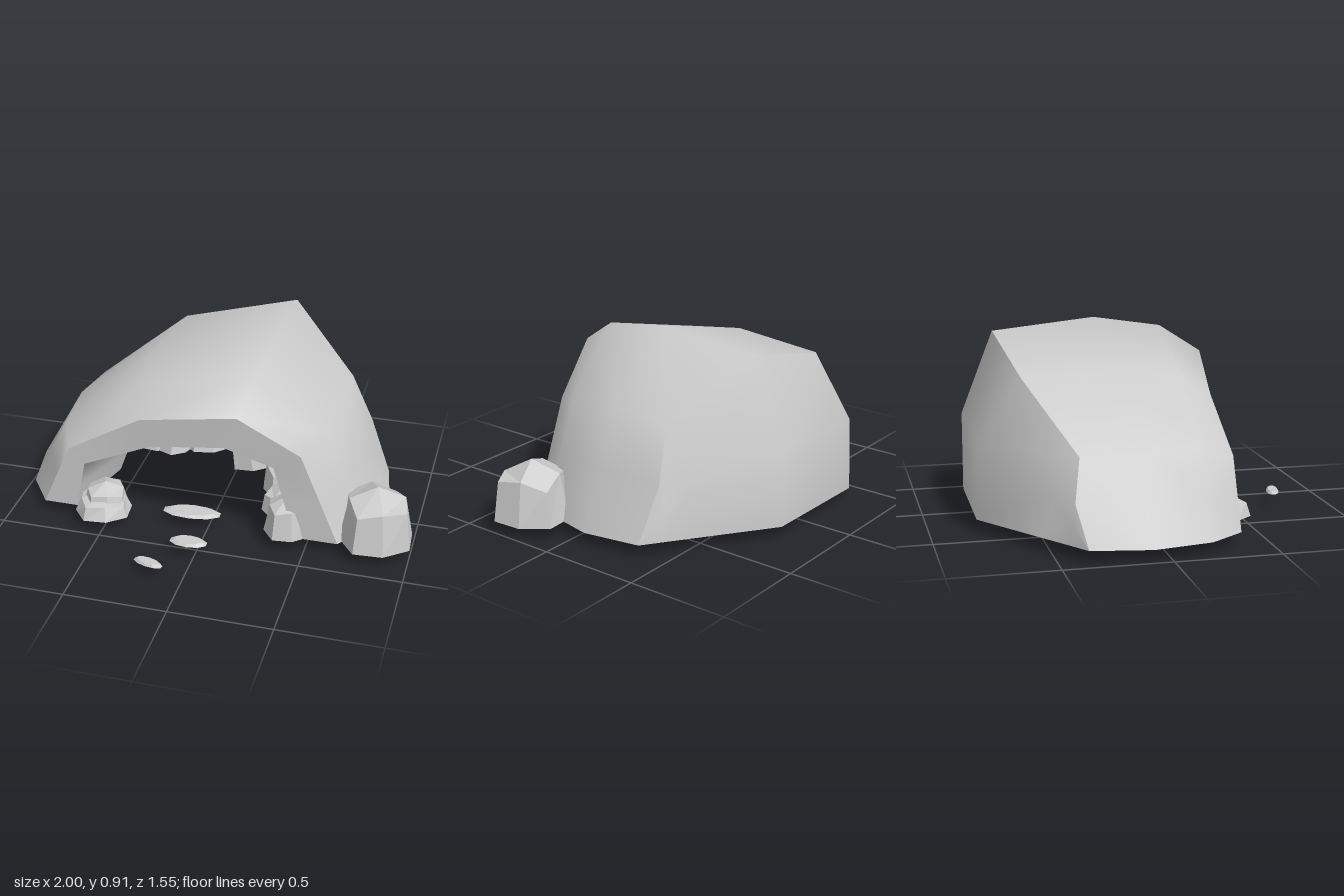
import * as THREE from 'three';

const BASE = 0.06;
const smooth = new THREE.MeshStandardMaterial({ color: 0xcccccc, side: THREE.DoubleSide });
const flat = new THREE.MeshStandardMaterial({ color: 0xcccccc, side: THREE.DoubleSide, flatShading: true });

function add(parent, name, geometry, material) {
  const mesh = new THREE.Mesh(geometry, material);
  mesh.name = name;
  parent.add(mesh);
  return mesh;
}

// Skin over rows of points; faces point along (row direction) x (row to row)
function skin(rows) {
  const n = rows[0].length, index = [];
  for (let i = 0; i < rows.length - 1; i++) {
    for (let j = 0; j < n - 1; j++) {
      const a = i * n + j, b = a + 1, c = a + n, d = c + 1;
      index.push(a, b, d, a, d, c);
    }
  }
  const g = new THREE.BufferGeometry();
  g.setAttribute('position', new THREE.Float32BufferAttribute(rows.flat(2), 3));
  g.setIndex(index);
  g.computeVertexNormals();
  return g;
}

// Arch of six points, left foot to right foot, with a midpoint added in each leg
function arch(points, legZ = 0) {
  const mid = (a, b) => [(a[0] + b[0]) / 2, (a[1] + b[1]) / 2, (a[2] + b[2]) / 2 + legZ];
  const p = points;
  return [p[0], mid(p[0], p[1]), p[1], p[2], p[3], p[4], mid(p[4], p[5]), p[5]];
}

// Faceted boulder: upper half of a rounded 2x2x2 cube, open underneath
function boulder(parent, name, [x, z], [rx, h, rz], turn = 0, y = BASE, tilt = 0) {
  const g = new THREE.BoxGeometry(2, 2, 2, 2, 2, 2);
  const pos = g.attributes.position, v = new THREE.Vector3();
  for (let i = 0; i < pos.count; i++) {
    v.fromBufferAttribute(pos, i);
    v.lerp(v.clone().normalize(), 0.8);
    if (v.y > 0.1 && v.y < 0.9) v.y += 0.05 * Math.sin(v.x * 3 + v.z * 2 + x * 20);
    pos.setXYZ(i, v.x, v.y, v.z);
  }
  const old = g.index.array, kept = [];
  for (let i = 0; i < old.length; i += 3) {
    const tri = [old[i], old[i + 1], old[i + 2]];
    if (tri.every(k => pos.getY(k) > -0.01)) kept.push(...tri);
  }
  g.setIndex(kept);
  g.rotateY(turn);
  g.scale(rx, h, rz);
  const m = add(parent, name, g, flat);
  m.position.set(x, y, z);
  m.rotation.z = tilt;
}

export function createModel() {
  const model = new THREE.Group();
  model.name = 'rockCave';
  const cave = new THREE.Group();
  cave.name = 'caveShell';
  model.add(cave);

  // Outer arches from front to back
  const front = arch([[-0.83, BASE, 0.36], [-0.69, 0.385, 0.36], [-0.32, 0.6, 0.36],
    [0.18, 0.73, 0.45], [0.47, 0.52, 0.365], [0.66, BASE, 0.36]]);
  const shoulder = arch([[-0.95, BASE, 0.19], [-0.76, 0.44, 0.19], [-0.36, 0.71, 0.2],
    [0.23, 0.86, 0.25], [0.57, 0.59, 0.2], [0.78, BASE, 0.19]]);
  const crown = arch([[-1, BASE, -0.09], [-0.78, 0.45, -0.09], [-0.37, 0.75, -0.09],
    [0.25, 0.91, -0.09], [0.61, 0.615, -0.09], [0.84, BASE, -0.09]]);
  const ridge = arch([[-0.95, BASE, -0.37], [-0.75, 0.43, -0.37], [-0.35, 0.72, -0.56],
    [0.23, 0.86, -0.61], [0.58, 0.59, -0.365], [0.79, BASE, -0.37]], -0.04);
  add(cave, 'outerVault', skin([front, shoulder, crown, ridge]), smooth);

  // Sloping back of the cave
  const backMid = [[-0.95, BASE, -0.37], [-0.865, 0.15, -0.422], [-0.73, 0.25, -0.475], [-0.35, 0.42, -0.765],
    [0.23, 0.45, -0.77], [0.57, 0.32, -0.49], [0.69, 0.19, -0.43], [0.79, BASE, -0.37]];
  const backBase = [[-0.95, -0.37], [-0.86, -0.431], [-0.7, -0.541], [-0.35, -0.78],
    [0.23, -0.77], [0.55, -0.541], [0.69, -0.441], [0.79, -0.37]].map(([x, z]) => [x, BASE, z]);
  add(cave, 'backSlope', skin([ridge, backMid, backBase]), smooth);

  // Mouth rim, then a chamber that narrows and widens again to its end wall
  const mouth = arch([[-0.66, BASE, 0.36], [-0.61, 0.31, 0.36], [-0.27, 0.46, 0.36],
    [0.12, 0.565, 0.45], [0.34, 0.44, 0.365], [0.45, BASE, 0.36]]);
  const neck = arch([[-0.56, BASE, -0.02], [-0.5, 0.285, -0.02], [-0.27, 0.36, -0.02],
    [0.05, 0.44, -0.02], [0.24, 0.4, -0.02], [0.33, BASE, -0.02]]);
  const inner = arch([[-0.62, BASE, -0.5], [-0.57, 0.3, -0.43], [-0.29, 0.42, -0.5],
    [0.08, 0.5, -0.54], [0.3, 0.42, -0.48], [0.42, BASE, -0.52]]);
  const innerBase = inner.map(([x, , z]) => [x, BASE, z]);
  add(cave, 'mouthRim', skin([mouth, front]), smooth);
  add(cave, 'chamber', skin([inner, neck, mouth]), smooth);
  add(cave, 'chamberEndWall', skin([innerBase, inner]), flat);

  // Boulder outside the right wall
  boulder(model, 'largeBoulder', [0.825, 0.243], [0.18, 0.28, 0.184], 0.36);

  // Stepped pile at the left of the mouth
  boulder(model, 'mouthBoulderLower', [-0.525, 0.345], [0.14, 0.09, 0.14], 0.39);
  boulder(model, 'mouthBoulderUpper', [-0.52, 0.32], [0.115, 0.14, 0.115], 0.39);

  // Pile along the right wall
  boulder(model, 'rightBoulder', [0.4, 0.28], [0.12, 0.19, 0.13], 0.39);
  boulder(model, 'rightBoulderMiddle', [0.42, 0.07], [0.12, 0.17, 0.13], 0.7);
  boulder(model, 'rightBoulderInner', [0.34, 0.12], [0.1, 0.13, 0.11], 1.1);
  boulder(model, 'rightBoulderBack', [0.29, -0.08], [0.1, 0.17, 0.11], 0.5);

  // Pile in the back left corner
  boulder(model, 'backLeftBoulder', [-0.46, -0.38], [0.13, 0.23, 0.14], 0.2);
  boulder(model, 'backLeftBoulderSmall', [-0.36, -0.33], [0.1, 0.13, 0.1], 0.9);
  boulder(model, 'backBoulder', [-0.2, -0.42], [0.135, 0.16, 0.13], 0.5);

  // Pile at the back right, one boulder sunk at an angle
  boulder(model, 'leaningBoulder', [0.1, -0.365], [0.145, 0.19, 0.145], 0, 0.034, 0.24);
  boulder(model, 'backRightBoulder', [0.23, -0.37], [0.12, 0.19, 0.13], 0.2);

  // Flat stepping stones leading out of the mouth
  const stones = [[-0.09, 0.27, 0.15, 0.06, 0.05], [-0.035, 0.523, 0.095, 0.048, 0], [-0.17, 0.737, 0.078, 0.032, -0.25]];
  for (const [x, z, rx, rz, turn] of stones) {
    const g = new THREE.CylinderGeometry(0.75, 1, 0.013, 10);
    g.scale(rx, 1, rz);
    const m = add(model, 'steppingStone', g, flat);
    m.position.set(x, 0.065, z);
    m.rotation.y = turn;
  }
  return model;
}
